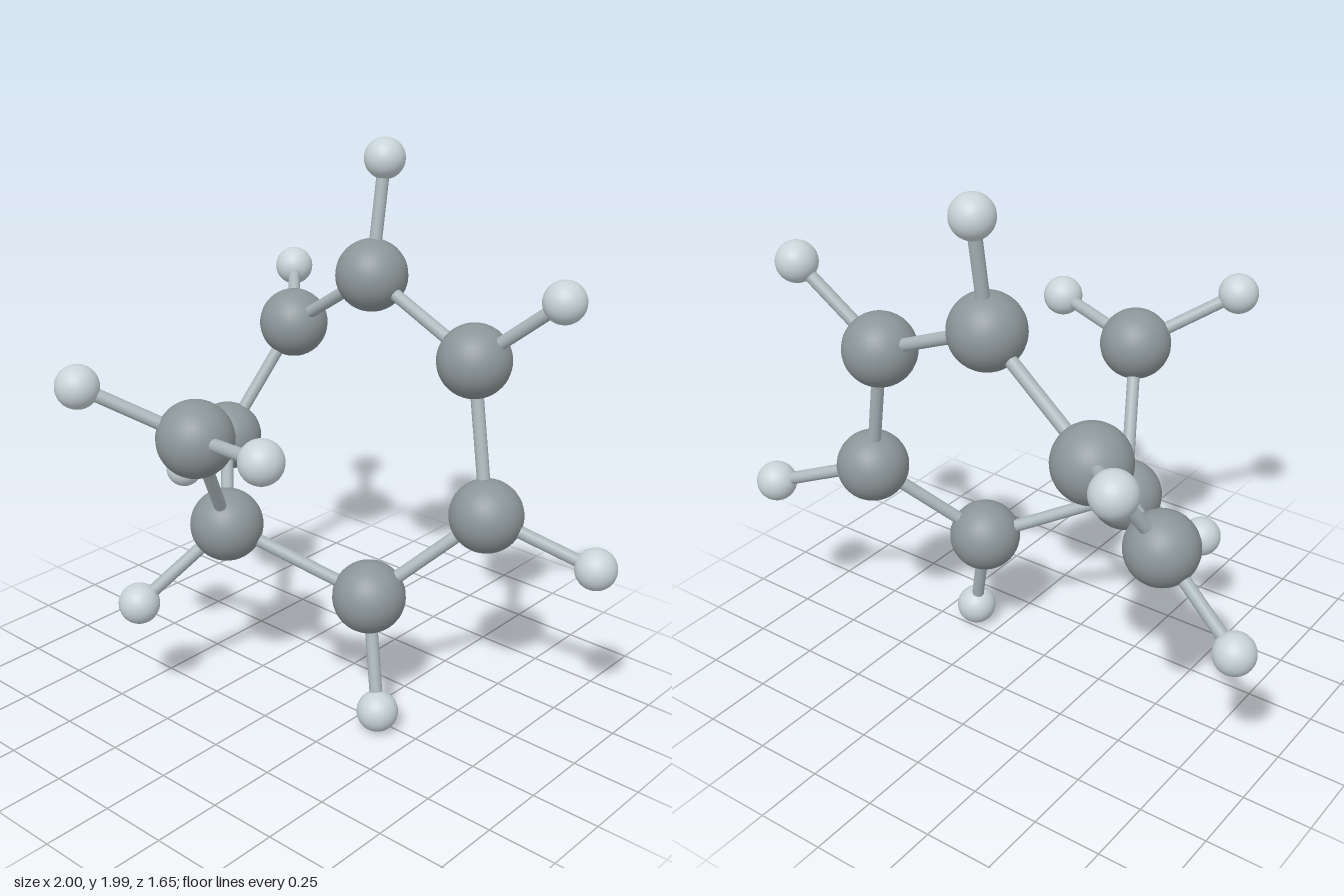
import * as THREE from 'three';

const material = (color) => new THREE.MeshStandardMaterial({ color });

// Large atoms: ring of seven, then the side branch
const LARGE = [
  [-0.055, 1.515, -0.385],
  [0.43, 1.31, -0.355],
  [0.555, 0.79, -0.29],
  [0.25, 0.47, -0.03],
  [-0.215, 0.69, 0.21],
  [-0.605, 0.81, -0.185],
  [-0.51, 1.225, -0.465],
  [-0.06, 1.145, 0.495],
];
const BRANCH_BASE = 4, BRANCH = 7, RING_SIZE = 7;

// Small atoms: [index of the large atom it hangs on, x, y, z]
const SMALL = [
  [0, -0.07, 1.92, -0.465],
  [1, 0.745, 1.57, -0.4],
  [2, 0.925, 0.66, -0.42],
  [3, 0.355, 0.075, 0.04],
  [4, -0.38, 0.425, 0.495],
  [5, -0.925, 0.56, -0.245],
  [6, -0.775, 1.345, -0.755],
  [7, -0.34, 1.325, 0.745],
  [7, 0.335, 1.205, 0.595],
];

export function createModel() {
  const model = new THREE.Group();
  model.name = 'ballAndStickMolecule';
  const largeMat = material(0x8c9699);
  const smallMat = material(0xc8d4d8);
  const bondMat = material(0xacb8bc);
  const largeGeo = new THREE.SphereGeometry(0.131, 32, 24);
  const smallGeo = new THREE.SphereGeometry(0.074, 32, 24);
  const up = new THREE.Vector3(0, 1, 0);

  const addAtom = (name, geometry, mat, position) => {
    const atom = new THREE.Mesh(geometry, mat);
    atom.name = name;
    atom.position.copy(position);
    model.add(atom);
  };

  // Thin rod between two atom centres
  const addBond = (name, a, b) => {
    const dir = b.clone().sub(a);
    const bond = new THREE.Mesh(
      new THREE.CylinderGeometry(0.023, 0.023, dir.length(), 16, 1, true), bondMat);
    bond.name = name;
    bond.position.copy(a).lerp(b, 0.5);
    bond.quaternion.setFromUnitVectors(up, dir.normalize());
    model.add(bond);
  };

  // Large atoms
  const centres = LARGE.map((p) => new THREE.Vector3(...p));
  centres.forEach((c, i) => addAtom(i < RING_SIZE ? 'ringAtom' : 'branchAtom', largeGeo, largeMat, c));

  // Closed ring and the branch
  for (let i = 0; i < RING_SIZE; i++) addBond('ringBond', centres[i], centres[(i + 1) % RING_SIZE]);
  addBond('branchBond', centres[BRANCH_BASE], centres[BRANCH]);

  // Small outer atoms with their rods
  for (const [parent, ...p] of SMALL) {
    const c = new THREE.Vector3(...p);
    addAtom('outerAtom', smallGeo, smallMat, c);
    addBond('outerBond', centres[parent], c);
  }
  return model;
}
